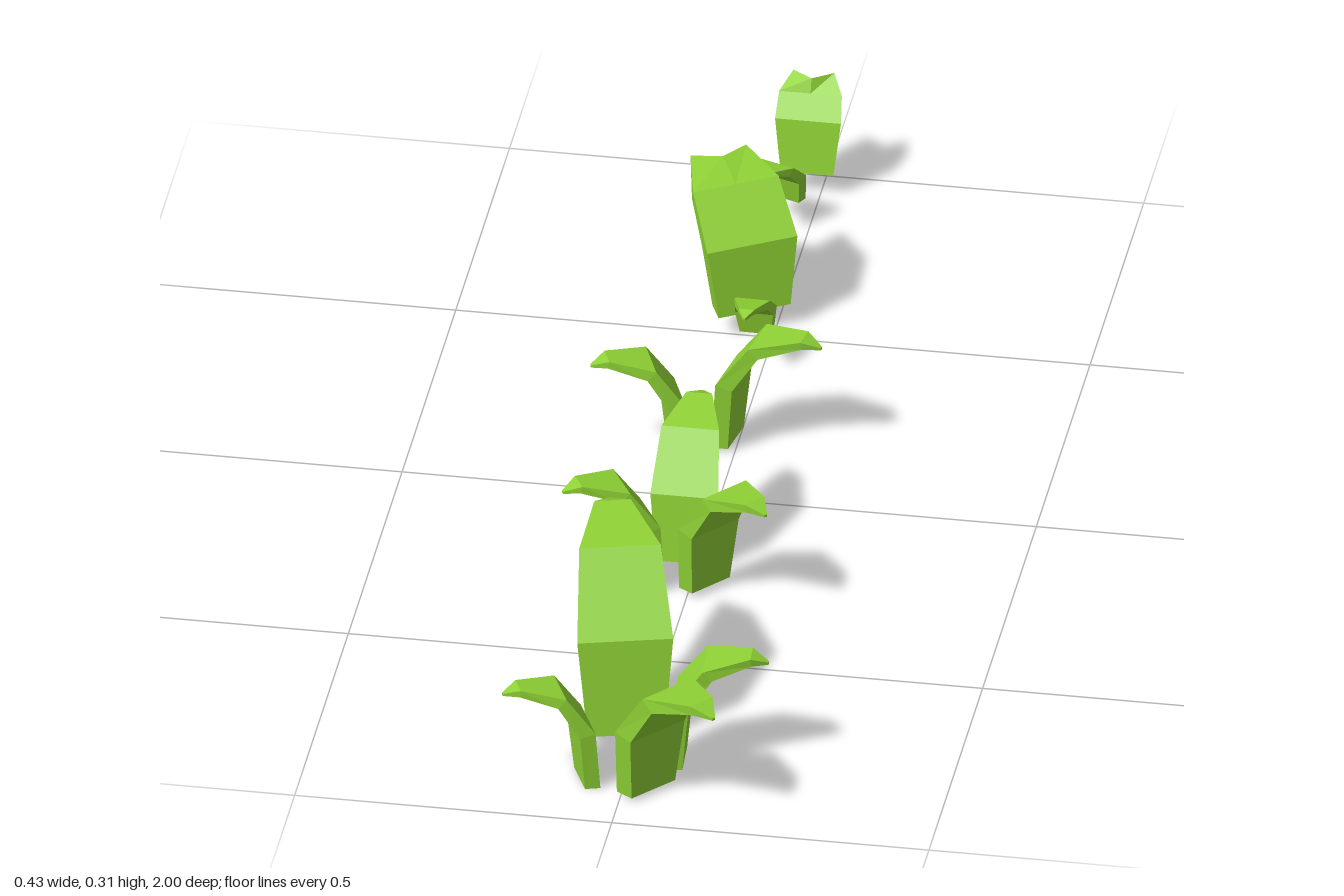
import * as THREE from 'three';

const leafGreen = new THREE.MeshStandardMaterial({ color: 0x8fd235, flatShading: true });
leafGreen.name = 'leafGreen';

// Lofts a blade through six-point rings. Local +z is the outward direction.
// Ring: z and y of the inner/top edge, z and y of the outer/under edge, half width, notch depth.
function bladeGeometry(rings) {
  const points = rings.map(({ zi, yi, zo, yo, w, notch = 0 }) => {
    const edge = (s, z, y, k) => [s * w * k, y, s === 0 ? z - notch : z];
    return [
      ...[-1, 0, 1].map((s) => edge(s, zo, yo, 0.92)),
      ...[1, 0, -1].map((s) => edge(s, zi, yi, 1)),
    ];
  });
  const pos = [];
  const quad = (a, b, c, d) => pos.push(...a, ...b, ...c, ...a, ...c, ...d);
  for (let i = 0; i < points.length - 1; i++) {
    const a = points[i], b = points[i + 1];
    for (let j = 0; j < 6; j++) {
      const k = (j + 1) % 6;
      quad(a[j], a[k], b[k], b[j]);
    }
  }
  // End caps, each in two halves
  const lo = points[0], hi = points[points.length - 1];
  quad(lo[5], lo[4], lo[1], lo[0]);
  quad(lo[4], lo[3], lo[2], lo[1]);
  quad(hi[0], hi[1], hi[4], hi[5]);
  quad(hi[1], hi[2], hi[3], hi[4]);
  const g = new THREE.BufferGeometry();
  g.setAttribute('position', new THREE.Float32BufferAttribute(pos, 3));
  g.computeVertexNormals();
  return g;
}

// One leaf from its foot (x, z) to its tip (x, z); heights = [foot, middle, bend, peak, tip]
function makeLeaf(name, foot, tip, width, heights, notch = 0) {
  const dx = tip[0] - foot[0], dz = tip[1] - foot[1];
  const L = Math.hypot(dx, dz);
  const [y0, y1, y2, y3, y4] = heights;
  const h = width / 2;
  const t = width * 0.26;
  const rings = [
    { zi: 0, yi: y0, zo: t, yo: y0, w: h * 0.8 },
    { zi: 0.01, yi: y1 + 0.004, zo: 0.01 + t, yo: y1 - 0.004, w: h },
  ];
  if (notch) {
    // Short, blunt leaf with a notched end
    rings.push(
      { zi: L * 0.52, yi: y2, zo: L * 0.52 + t * 0.5, yo: y2 - t * 0.6, w: h * 0.95 },
      { zi: L, yi: y3, zo: L, yo: y4 - 0.006, w: h * 0.62, notch },
    );
  } else {
    // Pointed leaf with a drooping tip
    rings.push(
      { zi: L * 0.37, yi: y2, zo: L * 0.37 + t * 0.55, yo: y2 - t * 0.65, w: h * 0.85 },
      { zi: L * 0.83, yi: y3, zo: L * 0.84, yo: y3 - t * 0.5, w: h * 0.38 },
      { zi: L, yi: y4 + 0.002, zo: L, yo: y4 - 0.002, w: h * 0.05 },
    );
  }
  const leaf = new THREE.Mesh(bladeGeometry(rings), leafGreen);
  leaf.name = name;
  leaf.position.set(foot[0], 0, foot[1]);
  leaf.rotation.y = Math.atan2(dx, dz);
  return leaf;
}

// Tufts from front to back: [leaf name, foot, tip, width, heights, notch]
const TUFTS = {
  largeTuft: [
    ['tallBackLeaf', [-0.02, 0.75], [-0.087, 0.504], 0.15, [0.01, 0.17, 0.295, 0.31, 0.287]],
    ['leftLeaf', [0.055, 0.8], [0.212, 0.79], 0.1, [0.007, 0.12, 0.188, 0.202, 0.187]],
    ['frontLeftLeaf', [0.025, 0.88], [0.16, 0.995], 0.12, [0.007, 0.12, 0.205, 0.218, 0.2]],
    ['frontRightLeaf', [-0.05, 0.865], [-0.185, 0.925], 0.092, [0, 0.1, 0.168, 0.182, 0.17]],
  ],
  mediumTuft: [
    ['backLeaf', [-0.02, 0.217], [-0.02, 0.037], 0.107, [0.01, 0.12, 0.215, 0.23, 0.215]],
    ['frontLeftLeaf', [0.013, 0.26], [0.135, 0.362], 0.105, [0.01, 0.12, 0.197, 0.21, 0.195]],
    ['frontRightLeaf', [-0.055, 0.26], [-0.19, 0.335], 0.095, [0.01, 0.12, 0.19, 0.204, 0.19]],
  ],
  leafPair: [
    ['leftLeaf', [-0.03, -0.185], [0.135, -0.155], 0.1, [0.005, 0.12, 0.195, 0.21, 0.195]],
    ['rightLeaf', [-0.075, -0.14], [-0.217, -0.085], 0.095, [0.002, 0.1, 0.17, 0.184, 0.17]],
  ],
  unevenPair: [
    ['broadBackLeaf', [-0.03, -0.508], [-0.11, -0.642], 0.15, [0.04, 0.15, 0.225, 0.245, 0.24], 0.02],
    ['smallFrontLeaf', [-0.018, -0.46], [-0.02, -0.35], 0.066, [0.04, 0.085, 0.115, 0.126, 0.118]],
  ],
  smallTuft: [
    ['shortBackLeaf', [-0.02, -0.935], [-0.02, -1], 0.104, [0.04, 0.125, 0.165, 0.187, 0.18], 0.022],
    ['smallFrontLeaf', [-0.035, -0.87], [-0.072, -0.77], 0.068, [0.04, 0.085, 0.115, 0.126, 0.12]],
  ],
};

export function createModel() {
  const model = new THREE.Group();
  model.name = 'grassTufts';
  for (const [name, leaves] of Object.entries(TUFTS)) {
    const tuft = new THREE.Group();
    tuft.name = name;
    for (const leaf of leaves) tuft.add(makeLeaf(...leaf));
    model.add(tuft);
  }
  return model;
}
